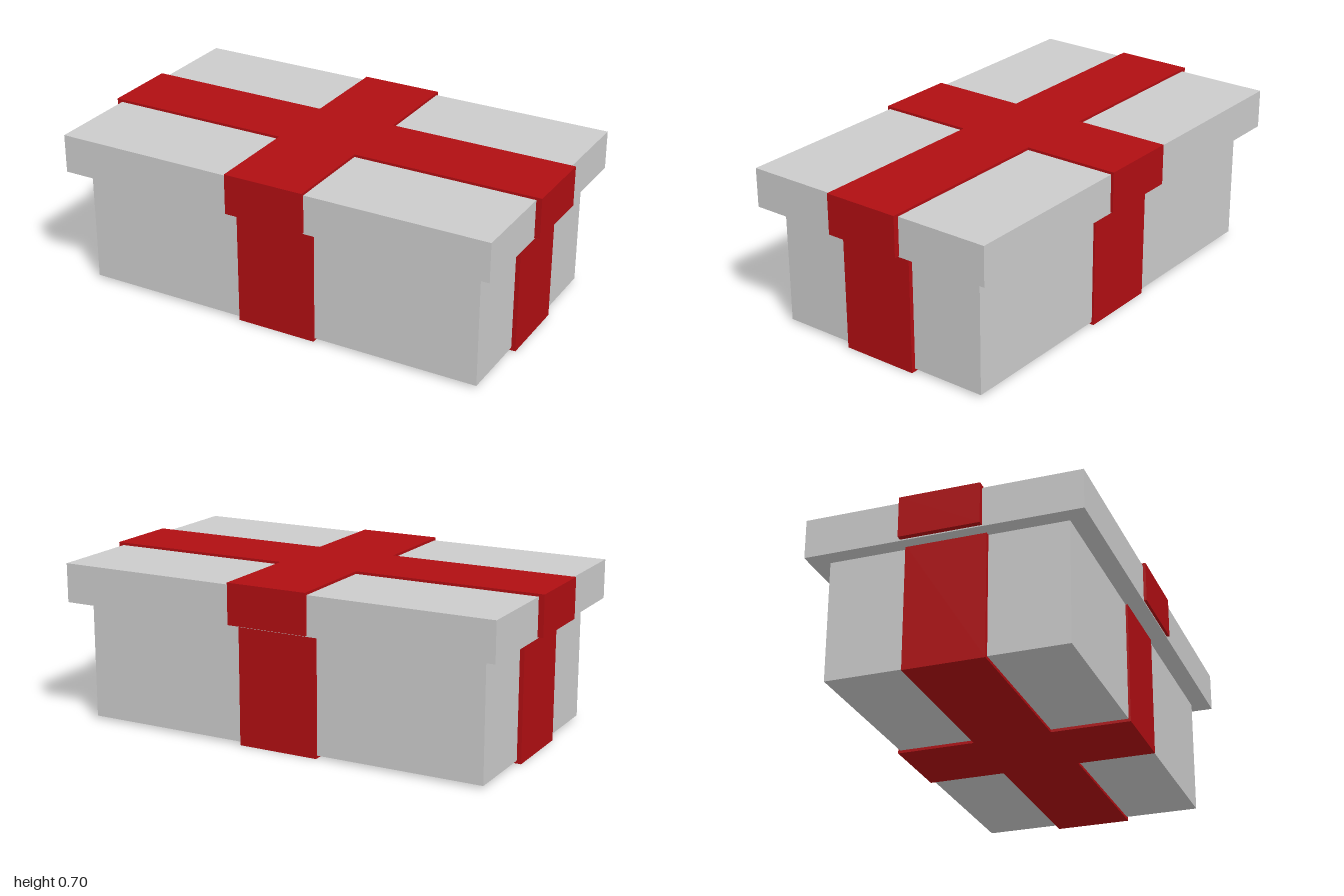
import * as THREE from 'three';

const grey = new THREE.MeshStandardMaterial({ color: 0xcccccc });
const red = new THREE.MeshStandardMaterial({ color: 0xb00e12 });

// Box given by half sizes in x and z, and its bottom and top heights
function slab(name, hx, hz, y0, y1) {
  const mesh = new THREE.Mesh(new THREE.BoxGeometry(hx * 2, y1 - y0, hz * 2), grey);
  mesh.position.y = (y0 + y1) / 2;
  mesh.name = name;
  return mesh;
}

// Cross of two ribbons: arms reach hx and hz, half widths wx (arm along z) and wz (arm along x)
function ribbonCross(name, hx, hz, y0, y1) {
  const wx = 0.178, wz = 0.168;
  const outline = [
    [hx, -wz], [hx, wz], [wx, wz], [wx, hz], [-wx, hz], [-wx, wz],
    [-hx, wz], [-hx, -wz], [-wx, -wz], [-wx, -hz], [wx, -hz], [wx, -wz],
  ].map(([x, y]) => new THREE.Vector2(x, y));
  const geometry = new THREE.ExtrudeGeometry(new THREE.Shape(outline), { depth: y1 - y0, bevelEnabled: false });
  geometry.rotateX(-Math.PI / 2);
  const mesh = new THREE.Mesh(geometry, red);
  mesh.position.y = y0;
  mesh.name = name;
  return mesh;
}

export function createModel() {
  const model = new THREE.Group();
  model.name = 'giftBox';
  model.add(
    slab('boxBody', 0.905, 0.496, 0.012, 0.54),
    slab('lid', 0.976, 0.575, 0.525, 0.693),
    ribbonCross('bodyRibbon', 0.924, 0.505, 0, 0.535),
    ribbonCross('lidRibbon', 1, 0.587, 0.53, 0.704),
  );
  return model;
}
